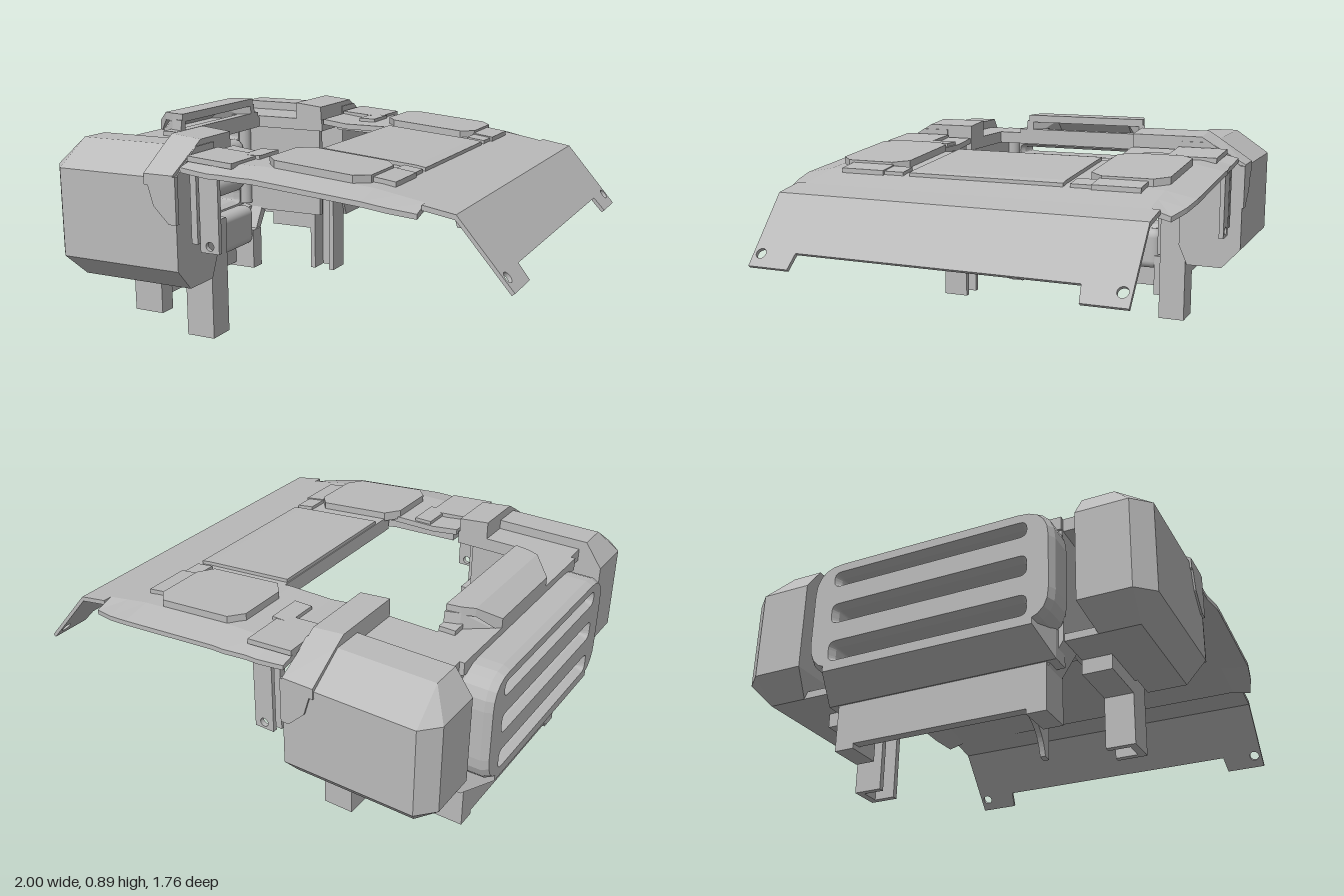
import * as THREE from 'three';
import { ConvexGeometry } from 'three/addons/geometries/ConvexGeometry.js';
import { RoundedBoxGeometry } from 'three/addons/geometries/RoundedBoxGeometry.js';

const grey = new THREE.MeshStandardMaterial({ color: 0xbababa });
grey.name = 'plain grey';

// Solid through cross-sections [x, [[z, y], ...]], ordered by rising x
function loft(sections) {
  const flip = THREE.ShapeUtils.isClockWise(sections[0][1].map(p => new THREE.Vector2(...p)));
  const rings = sections.map(([x, pts]) => {
    const r = pts.map(([z, y]) => new THREE.Vector3(x, y, z));
    return flip ? r.reverse() : r;
  });
  const out = [];
  const tri = (...v) => v.forEach(p => out.push(p.x, p.y, p.z));
  const n = rings[0].length;
  for (let i = 0; i + 1 < rings.length; i++) {
    for (let j = 0; j < n; j++) {
      const k = (j + 1) % n, a = rings[i][j], b = rings[i][k], c = rings[i + 1][k], d = rings[i + 1][j];
      tri(a, c, b);
      tri(a, d, c);
    }
  }
  for (const end of [0, rings.length - 1]) {
    const r = rings[end];
    const flat = r.map(p => new THREE.Vector2(p.z, p.y));
    for (const [a, b, c] of THREE.ShapeUtils.triangulateShape(flat, [])) {
      if (end === 0) tri(r[a], r[b], r[c]); else tri(r[a], r[c], r[b]);
    }
  }
  const g = new THREE.BufferGeometry();
  g.setAttribute('position', new THREE.Float32BufferAttribute(out, 3));
  g.computeVertexNormals();
  return g;
}

// Height of the roof skin along x
const knots = [[-0.32, 0.8], [-0.2, 0.785], [0, 0.785], [0.45, 0.745], [0.65, 0.71], [0.78, 0.688]];
function roofY(x) {
  for (let i = 1; i < knots.length; i++) {
    const [x0, y0] = knots[i - 1], [x1, y1] = knots[i];
    if (x <= x1) return y0 + (y1 - y0) * (x - x0) / (x1 - x0);
  }
  return 0.688;
}

// Slab following the roof: stations are [x, z0, z1]
const roofSlab = (stations, up, down) => loft(stations.map(([x, z0, z1]) => {
  const y = roofY(x);
  return [x, [[z0, y + up], [z1, y + up], [z1, y - down], [z0, y - down]]];
}));

const polygon = pts => new THREE.Shape(pts.map(p => new THREE.Vector2(...p)));
const circlePath = (x, y, r) => new THREE.Path().absarc(x, y, r, 0, Math.PI * 2, true);

function roundedRect(path, w, y0, y1, r) {
  path.moveTo(-w + r, y0).lineTo(w - r, y0).quadraticCurveTo(w, y0, w, y0 + r);
  path.lineTo(w, y1 - r).quadraticCurveTo(w, y1, w - r, y1).lineTo(-w + r, y1);
  path.quadraticCurveTo(-w, y1, -w, y1 - r).lineTo(-w, y0 + r).quadraticCurveTo(-w, y0, -w + r, y0);
  return path;
}

export function createModel() {
  const group = new THREE.Group();
  const add = (name, geometry) => {
    const m = new THREE.Mesh(geometry, grey);
    m.name = name;
    group.add(m);
    return m;
  };
  const box = (name, x0, x1, y0, y1, z0, z1) =>
    add(name, new THREE.BoxGeometry(x1 - x0, y1 - y0, Math.abs(z1 - z0))
      .translate((x0 + x1) / 2, (y0 + y1) / 2, (z0 + z1) / 2));
  const hull = (name, pts) => add(name, new ConvexGeometry(pts.map(p => new THREE.Vector3(...p))));

  for (const s of [1, -1]) {
    const inner = s > 0 ? 0.46 : 0.36;
    const side = pts => pts.map(([z, y]) => [z * s, y]);

    // Chamfered side pod
    const level = (y, pts) => pts.map(([x, z]) => [x, y, z * s]);
    const belt = [[-0.955, 0.59], [-0.955, 0.8], [-0.89, 0.872], [-0.33, 0.872], [-0.33, 0.59]];
    hull('sidePod', [
      ...level(0.36, belt), ...level(0.73, belt),
      ...level(0.835, [[-0.88, 0.59], [-0.88, 0.72], [-0.33, 0.72], [-0.33, 0.59]]),
      ...level(0.27, [[-0.85, 0.63], [-0.85, 0.79], [-0.33, 0.79], [-0.33, 0.63]]),
    ]);

    // Raised strap over the pod, with a tapering outer cheek
    const strap = top => side([[inner, 0.76], [inner, top], [0.68, top], [0.73, top - 0.03],
      [0.88, 0.745], [0.88, 0.7], [0.8, 0.7], [0.8, 0.76]]);
    add('podStrap', loft([[-0.47, strap(0.872)], [-0.335, strap(0.858)]]));
    const cheek = polygon([[-0.465, 0.74], [-0.43, 0.62], [-0.36, 0.55], [-0.325, 0.55], [-0.325, 0.74]]);
    add('strapCheek', new THREE.ExtrudeGeometry(cheek, { depth: 0.02, bevelEnabled: false })
      .translate(0, 0, 0.87 * s - 0.01));

    // Deck and bay wall, with a rounded rear corner
    box('sideDeck', -0.85, -0.33, 0.74, 0.795, inner * s, 0.6 * s);
    box('bayWall', -0.86, -0.4, 0.29, 0.75, 0.47 * s, 0.5 * s);
    add('bayCorner', new THREE.CylinderGeometry(0.035, 0.035, 0.42, 12).translate(-0.83, 0.53, 0.46 * s));
    const foot = side([[0.47, 0.48], [0.5, 0.48], [0.5, 0.27], [0.44, 0.18], [0.41, 0.2], [0.47, 0.3]]);
    add('bayWallFoot', loft([[-0.86, foot], [-0.74, foot]]));
    box('bayFloorLedge', -0.85, -0.45, 0.27, 0.3, 0.5 * s, 0.63 * s);
    box('underBar', -0.69, -0.47, 0.21, 0.27, 0.5 * s, 0.62 * s);

    // Channel-shaped leg, open inward
    box('legOuter', -0.47, -0.34, 0, 0.5, 0.59 * s, 0.62 * s);
    for (const x of [-0.47, -0.365]) box('legFlange', x, x + 0.025, 0, 0.5, 0.5 * s, 0.59 * s);

    // Roof side with a turned-down edge
    const outline = [[-0.32, 0.85], [-0.2, 0.85], [-0.15, 0.85], [-0.05, 0.865], [0, 0.865], [0.03, 0.865],
      [0.45, 0.865], [0.55, 0.85], [0.65, 0.82]];
    add('roofSide', loft(outline.map(([x, z]) => {
      const y = roofY(x);
      return [x, side([[inner, y], [0.74, y], [z, y - 0.025], [z, y - 0.045], [0.74, y - 0.025], [inner, y - 0.025]])];
    })));
    const slab = (name, stations, up, down) =>
      add(name, roofSlab(stations.map(([x, a, b]) => [x, a * s, b * s]), up, down));
    slab('roofPad', [[-0.02, 0.47, 0.68], [0.03, 0.41, 0.735], [0.36, 0.41, 0.735], [0.41, 0.47, 0.68]], 0.03, 0.01);
    slab('roofPadStep', [[0.41, 0.46, 0.66], [0.5, 0.46, 0.66]], 0.02, 0.01);
    slab('roofPadLug', [[0.41, 0.37, 0.46], [0.49, 0.37, 0.46]], 0.015, 0.01);
    slab('hingePlate', [[-0.32, 0.58, 0.8], [-0.12, 0.58, 0.8]], 0.012, 0.01);
    slab('underRail', [[-0.3, 0.47, 0.54], [0, 0.47, 0.54], [0.42, 0.42, 0.54]], -0.02, 0.06);
    slab('roofCatch', [[-0.18, 0.47, 0.62], [-0.1, 0.47, 0.62]], 0.015, 0.05);

    // Hanging hinge tab with a pin hole
    const tab = polygon([[-0.25, 0.44], [-0.165, 0.44], [-0.165, 0.76], [-0.25, 0.76]]);
    tab.holes.push(circlePath(-0.207, 0.468, 0.018));
    add('hingeTab', new THREE.ExtrudeGeometry(tab, { depth: 0.02, bevelEnabled: false }).translate(0, 0, 0.82 * s - 0.01));
    box('hingeStrip', -0.29, -0.262, 0.47, 0.77, 0.8 * s, 0.83 * s);

    // Curved support fin
    const fin = new THREE.Shape();
    fin.moveTo(0.4, 0.73).lineTo(0.4, 0.69).quadraticCurveTo(0.56, 0.66, 0.6, 0.505);
    fin.lineTo(0.645, 0.5).lineTo(0.645, 0.69);
    add('supportFin', new THREE.ExtrudeGeometry(fin, { depth: 0.03, bevelEnabled: false }).translate(0, 0, 0.25 * s - 0.015));

    // Rear deck corner, ridge cheek and skirt end
    box('rearDeckCorner', -0.75, -0.68, 0.74, 0.815, 0.22 * s, 0.35 * s);
    hull('ridgeCheek', [[-0.86, 0.21, 0.19], [-0.74, 0.28, 0.3], [-0.68, 0.28, 0.32]].flatMap(([x, a, b]) =>
      [[x, 0.78, a * s], [x, 0.78, b * s], [Math.max(x, -0.8), 0.86, a * s], [Math.max(x, -0.8), 0.86, (b - 0.01) * s]]));
    box('skirtEnd', -0.875, -0.73, 0, 0.2, 0.36 * s, 0.44 * s);
  }

  // Roof centre, front border and raised centre panel
  add('roofCentre', roofSlab([[0.03, -0.36, 0.46], [0.45, -0.36, 0.46], [0.65, -0.36, 0.46]], 0, 0.025));
  add('roofBorder', roofSlab([[0.65, -0.78, 0.78], [0.78, -0.78, 0.78]], 0, 0.02));
  add('centrePanel', roofSlab([[0.035, -0.34, 0.34], [0.45, -0.34, 0.34], [0.49, -0.34, 0.34]], 0.015, 0.01));
  add('roofCrossRib', roofSlab([[0.03, -0.45, 0.45], [0.08, -0.45, 0.45]], -0.02, 0.065));

  // Sloping flap with two drilled tabs
  const flap = polygon([[0, -0.78], [0.339, -0.78], [0.339, -0.6], [0.265, -0.59], [0.265, 0.59],
    [0.339, 0.6], [0.339, 0.78], [0, 0.78]]);
  for (const s of [1, -1]) flap.holes.push(circlePath(0.28, 0.745 * s, 0.022));
  const slope = new THREE.Matrix4().makeBasis(
    new THREE.Vector3(0.653, -0.757, 0), new THREE.Vector3(0, 0, 1), new THREE.Vector3(-0.757, -0.653, 0));
  add('flap', new THREE.ExtrudeGeometry(flap, { depth: 0.015, bevelEnabled: false })
    .applyMatrix4(slope.setPosition(0.78, 0.688, 0)));

  // Rear deck and the open-fronted ridge plate above it
  const plate = (w, y, t) => [[-w, y], [w, y], [w, y - t], [-w, y - t]];
  box('rearDeck', -0.87, -0.745, 0.74, 0.795, -0.5, 0.5);
  box('rearDeckLip', -0.725, -0.68, 0.74, 0.815, -0.23, 0.23);
  for (const s of [1, -1]) box('rearDeckEnd', -0.75, -0.68, 0.74, 0.795, 0.35 * s, 0.5 * s);
  add('rearRidge', loft([[-0.87, plate(0.2, 0.835, 0.06)], [-0.79, plate(0.27, 0.887, 0.035)],
    [-0.74, plate(0.29, 0.887, 0.035)], [-0.68, plate(0.3, 0.887, 0.035)]]));

  // Slotted rear grille
  const grille = roundedRect(new THREE.Shape(), 0.505, 0.295, 0.75, 0.12);
  for (const [y0, y1] of [[0.32, 0.405], [0.485, 0.57], [0.65, 0.715]]) {
    grille.holes.push(roundedRect(new THREE.Path(), 0.42, y0, y1, 0.03));
  }
  add('rearGrille', new THREE.ExtrudeGeometry(grille, {
    depth: 0.1, bevelSize: 0.015, bevelThickness: 0.03, bevelSegments: 1, curveSegments: 5,
  }).rotateY(Math.PI / 2).translate(-0.97, 0, 0));
  for (const y of [0.445, 0.61]) {
    add('grilleBar', new THREE.CapsuleGeometry(0.052, 0.76, 6, 12).rotateX(Math.PI / 2).translate(-0.85, y, 0));
  }

  // Lower rear panel and open skirt
  add('lowerRear', loft([[-1, plate(0.44, 0.32, 0.04)], [-0.88, plate(0.48, 0.32, 0.13)], [-0.8, plate(0.48, 0.3, 0.11)]]));
  add('lowerBar', new RoundedBoxGeometry(0.1, 0.2, 0.76, 3, 0.04).translate(-0.78, 0.23, 0));
  box('skirt', -0.875, -0.835, 0.02, 0.2, -0.4, 0.4);

  return group;
}
